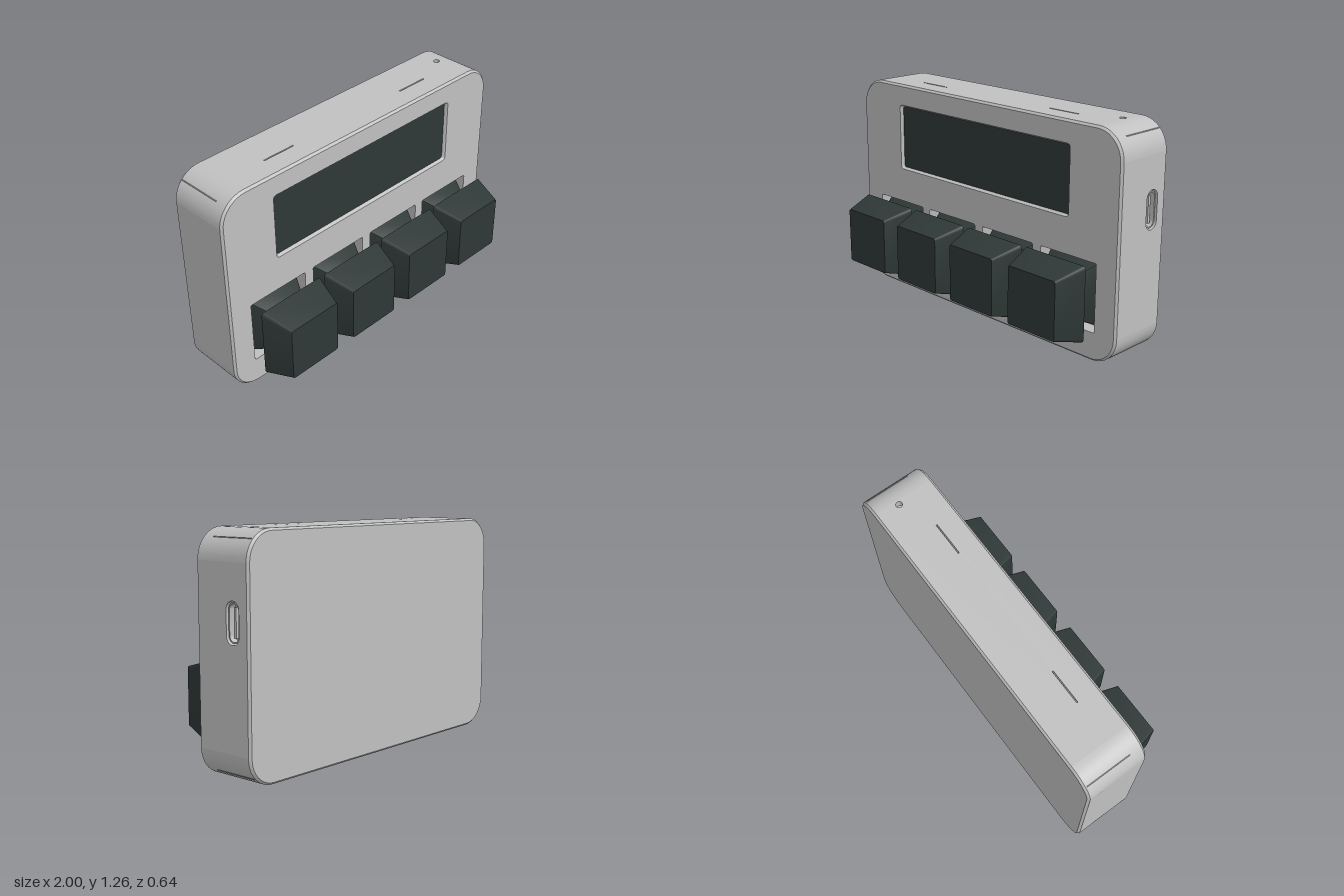
import * as THREE from 'three';
import { mergeGeometries, toCreasedNormals } from 'three/addons/utils/BufferGeometryUtils.js';

const W = 2, H = 1.26, R = 0.16, BEVEL = 0.012;
const FRONT = 0.045, BACK = -0.32, MID_Y = H / 2;
const KEY_X = [-0.667, -0.223, 0.223, 0.667], KEY_Y = 0.353;

// Counter-clockwise rounded rectangle, n steps per corner
function ring(cx, cy, w, h, r, n = 4) {
  const pts = [];
  for (let c = 0; c < 4; c++) {
    const sx = c === 0 || c === 3 ? 1 : -1, sy = c < 2 ? 1 : -1;
    for (let i = 0; i <= n; i++) {
      const a = (c + i / n) * Math.PI / 2;
      pts.push(new THREE.Vector2(cx + sx * (w / 2 - r) + r * Math.cos(a), cy + sy * (h / 2 - r) + r * Math.sin(a)));
    }
  }
  return pts;
}

// Wall between two matching outlines at different z
function band(a, za, b, zb, closed = true) {
  const pos = [], idx = [], n = a.length;
  for (let i = 0; i < n; i++) pos.push(a[i].x, a[i].y, za, b[i].x, b[i].y, zb);
  for (let i = 0; i < (closed ? n : n - 1); i++) {
    const p = 2 * i, q = 2 * ((i + 1) % n);
    idx.push(p, p + 1, q + 1, p, q + 1, q);
  }
  const g = new THREE.BufferGeometry();
  g.setAttribute('position', new THREE.Float32BufferAttribute(pos, 3));
  g.setIndex(idx);
  return toCreasedNormals(g, 0.5);
}

function withHoles(outline, holes = []) {
  const s = new THREE.Shape(outline);
  holes.forEach(h => s.holes.push(new THREE.Path(h)));
  return s;
}

// Plate whose outer face lies at z = 0
function plate(outline, holes, depth) {
  const g = new THREE.ExtrudeGeometry(withHoles(outline, holes), { depth, bevelEnabled: false });
  return toCreasedNormals(g.translate(0, 0, -depth), 0.5);
}

// Tapered block with a front and a back outline
function taperedBlock(front, zf, back, zb) {
  const parts = [
    band(front, zf, back, zb),
    new THREE.ShapeGeometry(withHoles(front)).translate(0, 0, zf).toNonIndexed(),
    new THREE.ShapeGeometry(withHoles(back)).rotateY(Math.PI).translate(0, 0, zb).toNonIndexed()
  ];
  parts.forEach(g => g.deleteAttribute('uv'));
  return mergeGeometries(parts);
}

export function createModel() {
  const model = new THREE.Group();
  model.name = 'macroPad';
  const shell = new THREE.MeshStandardMaterial({ color: 0xc0c0c0 });
  shell.name = 'light grey shell';
  const dark = new THREE.MeshStandardMaterial({ color: 0x2e3836 });
  dark.name = 'dark slate';
  const add = (parent, name, geo, mat) => {
    const m = new THREE.Mesh(geo, mat);
    m.name = name;
    parent.add(m);
    return m;
  };

  const body = new THREE.Group();
  body.name = 'body';
  model.add(body);

  // Front plate with the screen window and key openings
  const inner = ring(0, MID_Y, W - 2 * BEVEL, H - 2 * BEVEL, R - BEVEL, 10);
  const outer = ring(0, MID_Y, W, H, R, 10);
  const screenHole = ring(0, 0.943, 1.33, 0.39, 0.02);
  const screenEdge = ring(0, 0.943, 1.31, 0.37, 0.015);
  const keyHoles = KEY_X.map(x => ring(x, KEY_Y, 0.385, 0.385, 0.01));
  add(body, 'frontPlate', plate(inner, [screenHole, ...keyHoles], 0.08).translate(0, 0, FRONT), shell);
  add(body, 'screenBezel', band(screenEdge, FRONT - 0.018, screenHole, FRONT), shell);
  add(body, 'screen', new THREE.BoxGeometry(1.328, 0.388, 0.03).translate(0, 0.943, FRONT - 0.034), dark);

  // Back plate and the small bevels around both faces
  const zA = FRONT - BEVEL, zB = BACK + BEVEL;
  add(body, 'backPlate', new THREE.ShapeGeometry(withHoles(inner)).rotateY(Math.PI).translate(0, 0, BACK), shell);
  add(body, 'frontBevel', band(inner, FRONT, outer, zA), shell);
  add(body, 'backBevel', band(outer, zB, inner, BACK), shell);

  // Rounded corners
  for (let c = 0; c < 4; c++) {
    const arc = outer.slice(c * 11, c * 11 + 11);
    add(body, 'corner', band(arc, zA, arc, zB, false), shell);
  }

  // Flat side walls with their openings
  const zMid = (zA + zB) / 2, depth = zA - zB, wall = 0.045;
  const wide = s => ring(0, s * zMid, W - 2 * R, depth, 0, 1);
  const tall = s => ring(s * zMid, MID_Y, depth, H - 2 * R, 0, 1);
  const slits = s => [-0.5, 0.5].map(x => ring(x, s * -0.09, 0.2, 0.007, 0, 1));
  const pinhole = ring(0.815, 0.18, 0.036, 0.036, 0.018);
  const portY = 0.808, portZ = -0.21;
  const port = ring(-portZ, portY, 0.088, 0.215, 0.044, 8);
  add(body, 'topWall', plate(wide(-1), [...slits(-1), pinhole], wall).rotateX(-Math.PI / 2).translate(0, H, 0), shell);
  add(body, 'bottomWall', plate(wide(1), slits(1), wall).rotateX(Math.PI / 2), shell);
  add(body, 'leftWall', plate(tall(-1), [port], wall).rotateY(Math.PI / 2).translate(1, 0, 0), shell);
  add(body, 'rightWall', plate(tall(1), [], wall).rotateY(-Math.PI / 2).translate(-1, 0, 0), shell);

  // Core that closes the bottoms of all openings
  add(body, 'core', new THREE.BoxGeometry(1.91, 1.17, 0.264).translate(0, MID_Y, -0.168), shell);

  // Charging port
  const socket = new THREE.Group();
  socket.name = 'chargingPort';
  model.add(socket);
  const rimOut = ring(-portZ, portY, 0.076, 0.2, 0.038, 8);
  const rimIn = ring(-portZ, portY, 0.062, 0.186, 0.031, 8);
  add(socket, 'portRim', plate(rimOut, [rimIn], 0.035).rotateY(Math.PI / 2).translate(0.99, 0, 0), shell);
  add(socket, 'portTongue', new THREE.BoxGeometry(0.03, 0.15, 0.016).translate(0.968, portY, portZ), shell);

  // Four switches with tapered keycaps
  KEY_X.forEach(x => {
    const key = new THREE.Group();
    key.name = 'key';
    key.position.set(x, KEY_Y, 0);
    model.add(key);
    add(key, 'switchHousing', taperedBlock(ring(0, 0, 0.225, 0.25, 0.008, 2), 0.105, ring(0, 0, 0.364, 0.364, 0.01, 2), -0.035), dark);
    add(key, 'stemBar', new THREE.BoxGeometry(0.09, 0.035, 0.06).translate(0, 0, 0.127), dark);
    add(key, 'stemBar', new THREE.BoxGeometry(0.035, 0.095, 0.06).translate(0, 0, 0.127), dark);
    add(key, 'keycap', taperedBlock(ring(0, 0, 0.325, 0.325, 0.012), 0.323, ring(0, 0, 0.42, 0.42, 0.02), 0.148), dark);
  });
  return model;
}
